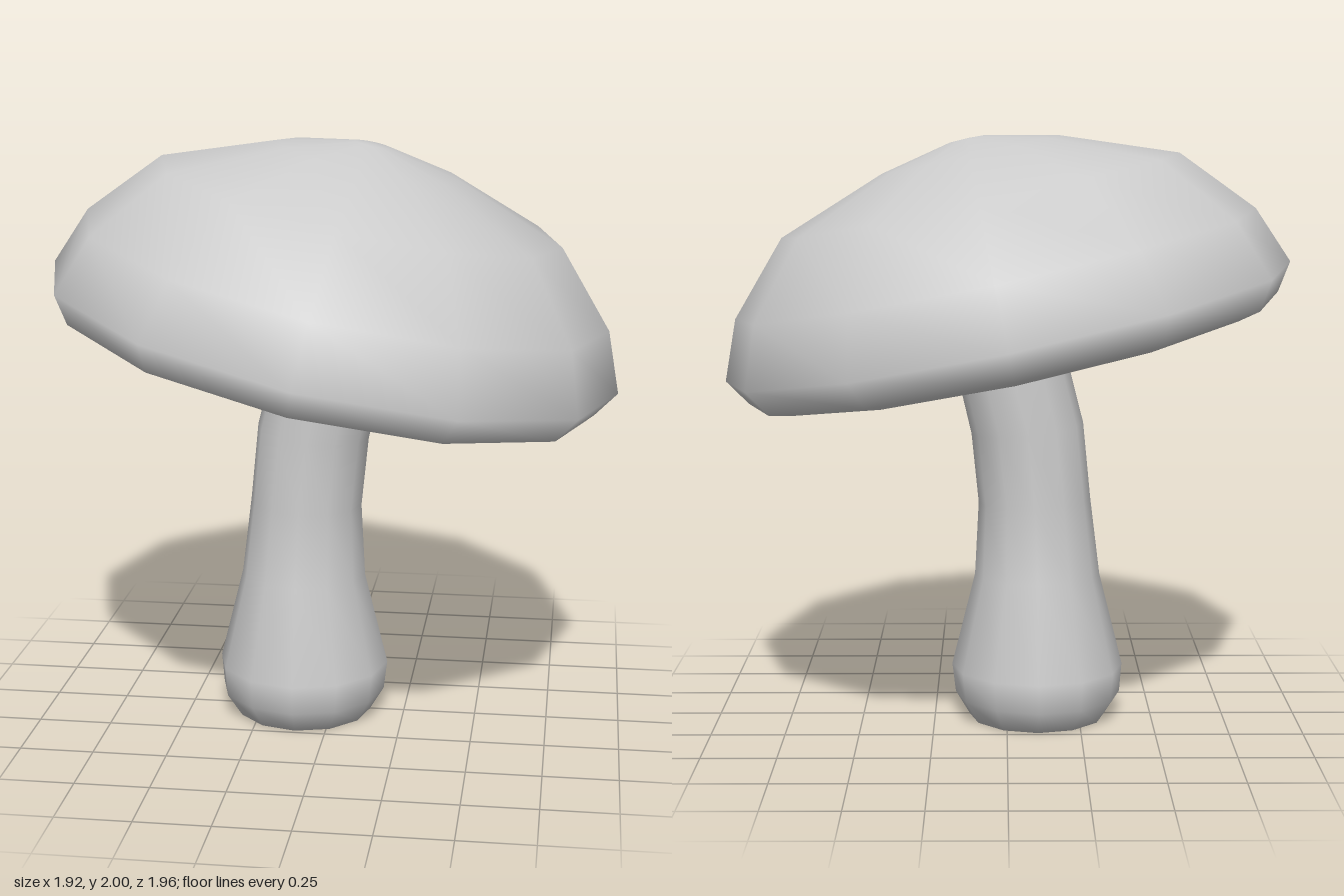
import * as THREE from 'three';
import { mergeVertices } from 'three/addons/utils/BufferGeometryUtils.js';

const SIDES = 12;
const TILT = 0.21; // lean of the cap towards +x

// Smooth-shaded lathe; place(v, ring) may move the vertices of each ring.
function turned(profile, place) {
  const lathe = new THREE.LatheGeometry(profile.map(([r, y]) => new THREE.Vector2(r, y)), SIDES);
  lathe.deleteAttribute('uv');
  lathe.deleteAttribute('normal');
  const pos = lathe.attributes.position;
  const v = new THREE.Vector3();
  for (let i = 0; place && i < pos.count; i++) {
    v.fromBufferAttribute(pos, i);
    place(v, i % profile.length);
    pos.setXYZ(i, v.x, v.y, v.z);
  }
  const geometry = mergeVertices(lathe, 1e-4);
  geometry.computeVertexNormals();
  return geometry;
}

export function createModel() {
  const group = new THREE.Group();
  const material = new THREE.MeshStandardMaterial({ color: 0xcccccc, side: THREE.DoubleSide });

  // Cap: collar round the stem, hollow underside, rolled rim and dome
  const cap = new THREE.Mesh(turned([
    [0.17, -0.14], [0.2, -0.14], [0.27, -0.105], [0.45, -0.05], [0.72, -0.06], [0.84, -0.113],
    [0.92, -0.092], [0.98, 0], [0.9, 0.2], [0.685, 0.435], [0.307, 0.574], [0.06, 0.628], [0, 0.63],
  ]), material);
  cap.name = 'cap';
  cap.position.y = 1.375;
  cap.rotation.z = -TILT;
  group.add(cap);

  // Stem rings: radius, height, centre x, lean
  const rings = [
    [0, 0, -0.105, 0], [0.235, 0, -0.105, 0], [0.285, 0.08, -0.107, 0], [0.295, 0.18, -0.105, 0],
    [0.215, 0.5, -0.105, 0], [0.192, 0.76, -0.095, 0.04], [0.192, 1.01, -0.07, 0.1],
    [0.188, 1.235, -0.015, TILT], [0.188, 1.32, 0.0, TILT],
  ];
  const stem = new THREE.Mesh(turned(rings, (v, i) => {
    const [, , cx, lean] = rings[i];
    v.y -= v.x * Math.sin(lean);
    v.x = v.x * Math.cos(lean) + cx;
  }), material);
  stem.name = 'stem';
  group.add(stem);

  return group;
}
